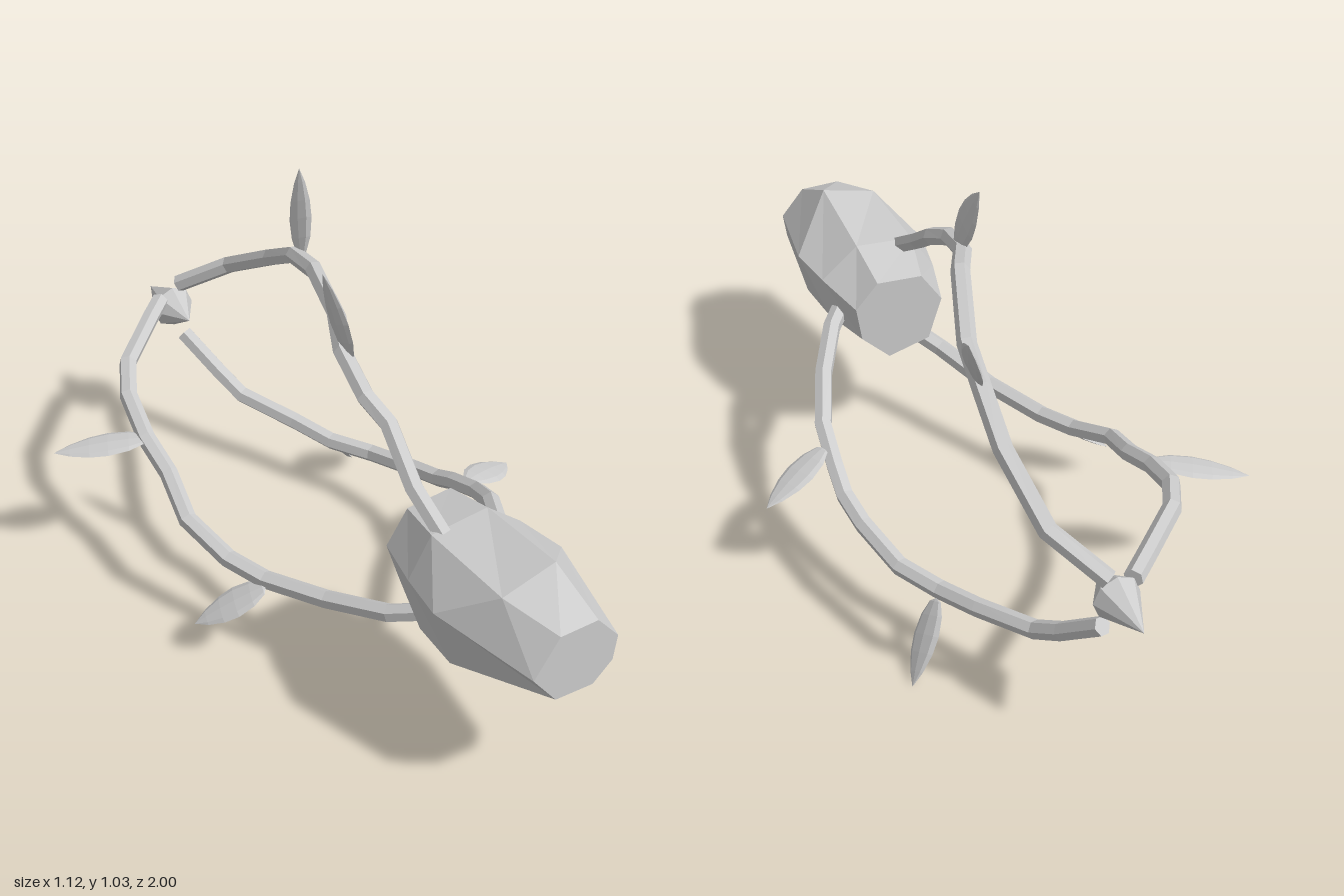
import * as THREE from 'three';

const grey = new THREE.MeshStandardMaterial({ color: 0xcccccc, flatShading: true });
grey.name = 'light grey';

function add(group, name, geometry) {
  const mesh = new THREE.Mesh(geometry, grey);
  mesh.name = name;
  group.add(mesh);
  return mesh;
}

// Faceted pod: seven columns, each listed front to back as x, y, z
function podGeometry() {
  const columns = [
    [[0.145, 0.49, 1], [0.203, 0.533, 0.71], [0.185, 0.53, 0.57], [0.145, 0.51, 0.42]],
    [[0.08, 0.565, 1], [0.068, 0.64, 0.85], [0.08, 0.615, 0.57], [0.08, 0.58, 0.42]],
    [[-0.03, 0.565, 1], [-0.085, 0.6, 0.85], [-0.085, 0.6, 0.57], [-0.05, 0.57, 0.42]],
    [[-0.1, 0.465, 1], [-0.176, 0.497, 0.71], [-0.15, 0.49, 0.57], [-0.11, 0.48, 0.42]],
    [[-0.03, 0.375, 1], [-0.12, 0.316, 0.71], [-0.11, 0.32, 0.57], [-0.07, 0.36, 0.42]],
    [[0.08, 0.37, 1], [0.053, 0.29, 0.71], [0.055, 0.295, 0.57], [0.05, 0.33, 0.42]],
    [[0.135, 0.42, 1], [0.18, 0.413, 0.71], [0.17, 0.41, 0.57], [0.13, 0.41, 0.42]],
  ];
  const n = columns.length, rings = 4, index = [];
  for (let i = 0; i < n; i++) {
    const j = (i + 1) % n;
    for (let r = 0; r < rings - 1; r++) {
      const a = i * rings + r, b = j * rings + r;
      index.push(a, a + 1, b, b, a + 1, b + 1);
    }
    if (i > 0 && j > 0) {
      index.push(0, i * rings, j * rings);
      index.push(rings - 1, j * rings + rings - 1, i * rings + rings - 1);
    }
  }
  const g = new THREE.BufferGeometry();
  g.setAttribute('position', new THREE.Float32BufferAttribute(columns.flat(2), 3));
  g.setIndex(index);
  g.computeVertexNormals();
  return g;
}

// Angular vine through the given points, closed at both ends
function vineGeometry(points) {
  const sides = 6, steps = points.length - 1;
  const curve = new THREE.CatmullRomCurve3(points.map((p) => new THREE.Vector3(...p)));
  curve.getPointAt = (t, target) => curve.getPoint(t, target);
  curve.getTangentAt = (t, target) => curve.getTangent(t, target);
  const g = new THREE.TubeGeometry(curve, steps, 0.025, sides);
  const index = Array.from(g.index.array), last = steps * (sides + 1);
  for (let k = 1; k < sides - 1; k++) {
    index.push(0, k, k + 1, last, last + k + 1, last + k);
  }
  g.setIndex(index);
  return g;
}

// Thin pointed leaf whose blade lies in the plane of its axis and z
function leafGeometry(base, tip) {
  const from = new THREE.Vector3(...base), axis = new THREE.Vector3(...tip).sub(from);
  const length = axis.length();
  const profile = [[0, 0], [0.022, 0.04], [0.041, 0.2], [0.049, 0.42], [0.043, 0.62], [0.025, 0.83], [0, 1]];
  const g = new THREE.LatheGeometry(profile.map(([r, t]) => new THREE.Vector2(r, t * length)), 8);
  g.scale(1, 1, 0.2);
  const up = axis.normalize();
  const side = new THREE.Vector3(0, 0, 1).addScaledVector(up, -up.z).normalize();
  const normal = new THREE.Vector3().crossVectors(side, up);
  g.applyMatrix4(new THREE.Matrix4().makeBasis(side, up, normal).setPosition(from));
  return g;
}

export function createModel() {
  const model = new THREE.Group();
  model.name = 'vineCage';
  add(model, 'pod', podGeometry());

  // Three vines, each with two leaves given as base and tip
  const vines = [
    {
      name: 'topVine',
      path: [[-0.05, 0.58, 0.58], [-0.06, 0.66, 0.46], [-0.04, 0.76, 0.32], [-0.055, 0.8, 0.24],
        [-0.03, 0.845, 0.1], [0.03, 0.87, -0.02], [0.08, 0.855, -0.15], [0.13, 0.84, -0.28],
        [0.155, 0.81, -0.42], [0.165, 0.73, -0.56], [0.14, 0.62, -0.75], [0.04, 0.53, -0.87]],
      leaves: [[[-0.025, 0.84, 0.13], [-0.05, 1.045, 0.04]], [[0.16, 0.82, -0.39], [0.23, 1.01, -0.51]]],
    },
    {
      name: 'rightVine',
      path: [[-0.07, 0.32, 0.52], [-0.12, 0.29, 0.45], [-0.195, 0.25, 0.28], [-0.275, 0.235, 0.11],
        [-0.32, 0.25, 0], [-0.36, 0.305, -0.14], [-0.335, 0.36, -0.28], [-0.335, 0.405, -0.4],
        [-0.31, 0.455, -0.54], [-0.25, 0.48, -0.65], [-0.105, 0.495, -0.79], [-0.03, 0.5, -0.86]],
      leaves: [[[-0.285, 0.23, 0.13], [-0.45, 0.115, 0.04]], [[-0.335, 0.41, -0.39], [-0.56, 0.375, -0.51]]],
    },
    {
      name: 'leftVine',
      path: [[0.13, 0.45, 0.56], [0.2, 0.44, 0.47], [0.28, 0.4, 0.33], [0.335, 0.33, 0.2],
        [0.35, 0.28, 0.08], [0.355, 0.24, 0], [0.345, 0.215, -0.1], [0.31, 0.185, -0.26],
        [0.25, 0.18, -0.38], [0.2, 0.2, -0.5], [0.12, 0.23, -0.66], [0.09, 0.28, -0.74],
        [0.04, 0.37, -0.85]],
      leaves: [[[0.36, 0.31, 0.13], [0.56, 0.235, 0.04]], [[0.265, 0.165, -0.39], [0.385, 0.01, -0.51]]],
    },
  ];
  for (const { name, path, leaves } of vines) {
    const vine = new THREE.Group();
    vine.name = name;
    add(vine, 'stem', vineGeometry(path));
    leaves.forEach(([base, tip], i) => add(vine, i ? 'rearLeaf' : 'frontLeaf', leafGeometry(base, tip)));
    model.add(vine);
  }

  // Double-pointed bud at the rear
  const budProfile = [[0, -0.135], [0.062, 0], [0, 0.095]].map(([r, z]) => new THREE.Vector2(r, z));
  const bud = add(model, 'bud', new THREE.LatheGeometry(budProfile, 8));
  bud.rotation.x = Math.PI / 2;
  bud.position.set(0.015, 0.463, -0.865);
  return model;
}
